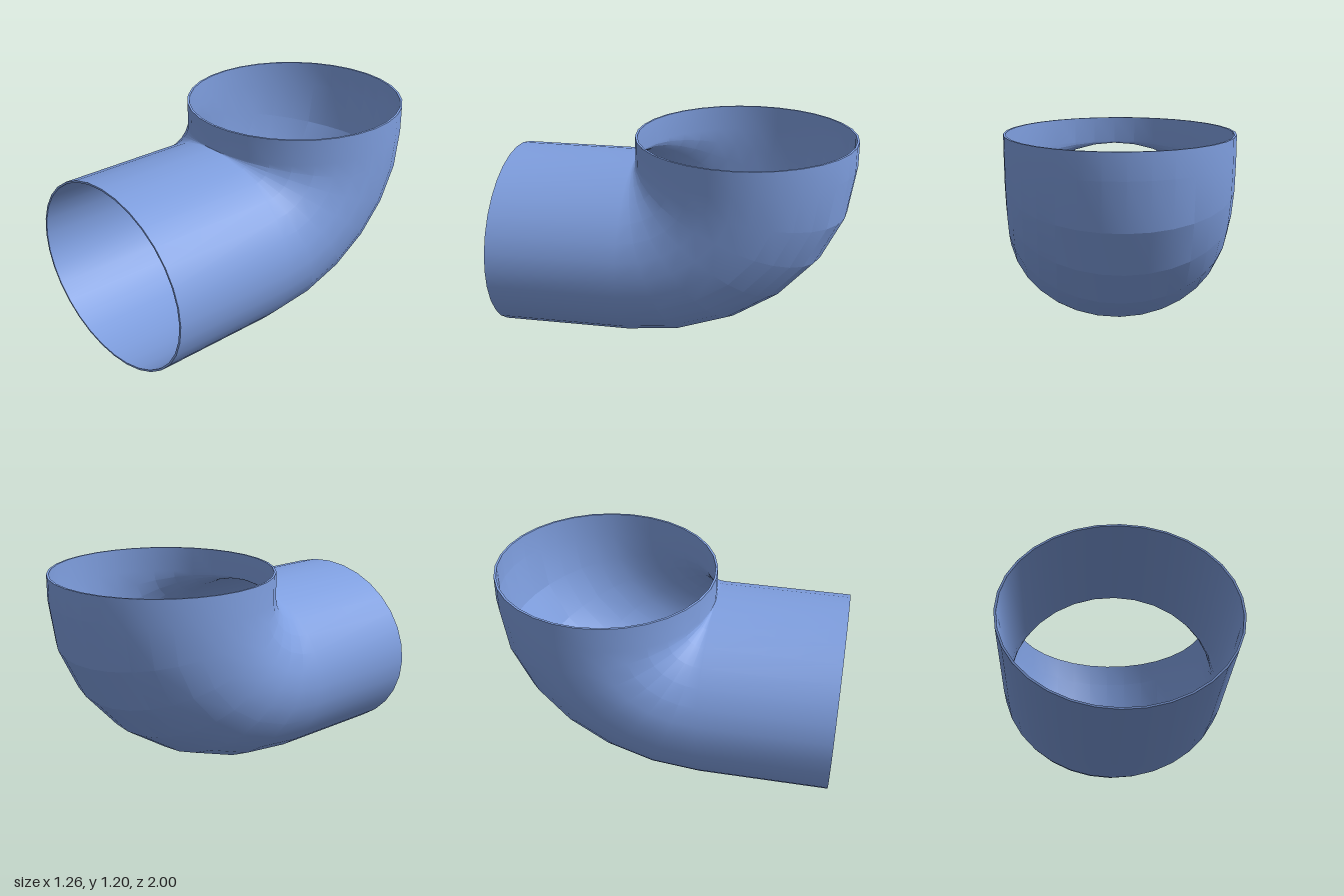
import * as THREE from 'three';
import { toCreasedNormals } from 'three/addons/utils/BufferGeometryUtils.js';

const SIDES = 32, BENDS = 6;
const WIDTH = 0.63;                    // half width of the pipe
const PIVOT = { y: 1.05, z: 0.26 };    // inner corner the elbow turns around
const REACH = { y: 1.05, z: 1.26 };    // pipe depth at the start and end of the bend
const FRONT = 1, TOP = 1.195;
const INNER = 0.98;                    // bore size relative to the outside

// One ring of the pipe, turned by angle about the pivot and shifted along a straight run
function ring(angle, scale, dy = 0, dz = 0) {
  const points = [];
  for (let j = 0; j < SIDES; j++) {
    const a = (j / SIDES) * Math.PI * 2;
    const r = 0.5 + 0.5 * scale * Math.cos(a);
    points.push(new THREE.Vector3(
      WIDTH * scale * Math.sin(a),
      PIVOT.y - REACH.y * r * Math.cos(angle) + dy,
      PIVOT.z - REACH.z * r * Math.sin(angle) + dz));
  }
  return points;
}

// Rings from the front mouth, round the bend, to the top mouth
function wall(scale) {
  const rings = [ring(0, scale, 0, FRONT - PIVOT.z)];
  for (let i = 0; i <= BENDS; i++) rings.push(ring((i / BENDS) * Math.PI / 2, scale));
  rings.push(ring(Math.PI / 2, scale, TOP - PIVOT.y, 0));
  return rings;
}

// Skin a closed sequence of rings, leaving out collapsed triangles
function skin(rings) {
  const positions = [];
  const tri = (a, b, c) => {
    const area = b.clone().sub(a).cross(c.clone().sub(a)).length();
    if (area > 1e-8) for (const p of [a, b, c]) positions.push(p.x, p.y, p.z);
  };
  rings.forEach((from, i) => {
    const to = rings[(i + 1) % rings.length];
    for (let j = 0; j < SIDES; j++) {
      const k = (j + 1) % SIDES;
      tri(from[j], to[j], to[k]);
      tri(from[j], to[k], from[k]);
    }
  });
  const geometry = new THREE.BufferGeometry();
  geometry.setAttribute('position', new THREE.Float32BufferAttribute(positions, 3));
  return toCreasedNormals(geometry, 0.24);
}

export function createModel() {
  const group = new THREE.Group();
  group.name = 'pipeElbow';
  const material = new THREE.MeshStandardMaterial({ color: 0x7f9fe0 });

  // Outer wall, top rim, bore and front rim form one closed shell
  const pipe = new THREE.Mesh(skin([...wall(1), ...wall(INNER).reverse()]), material);
  pipe.name = 'elbowPipe';
  group.add(pipe);
  return group;
}
